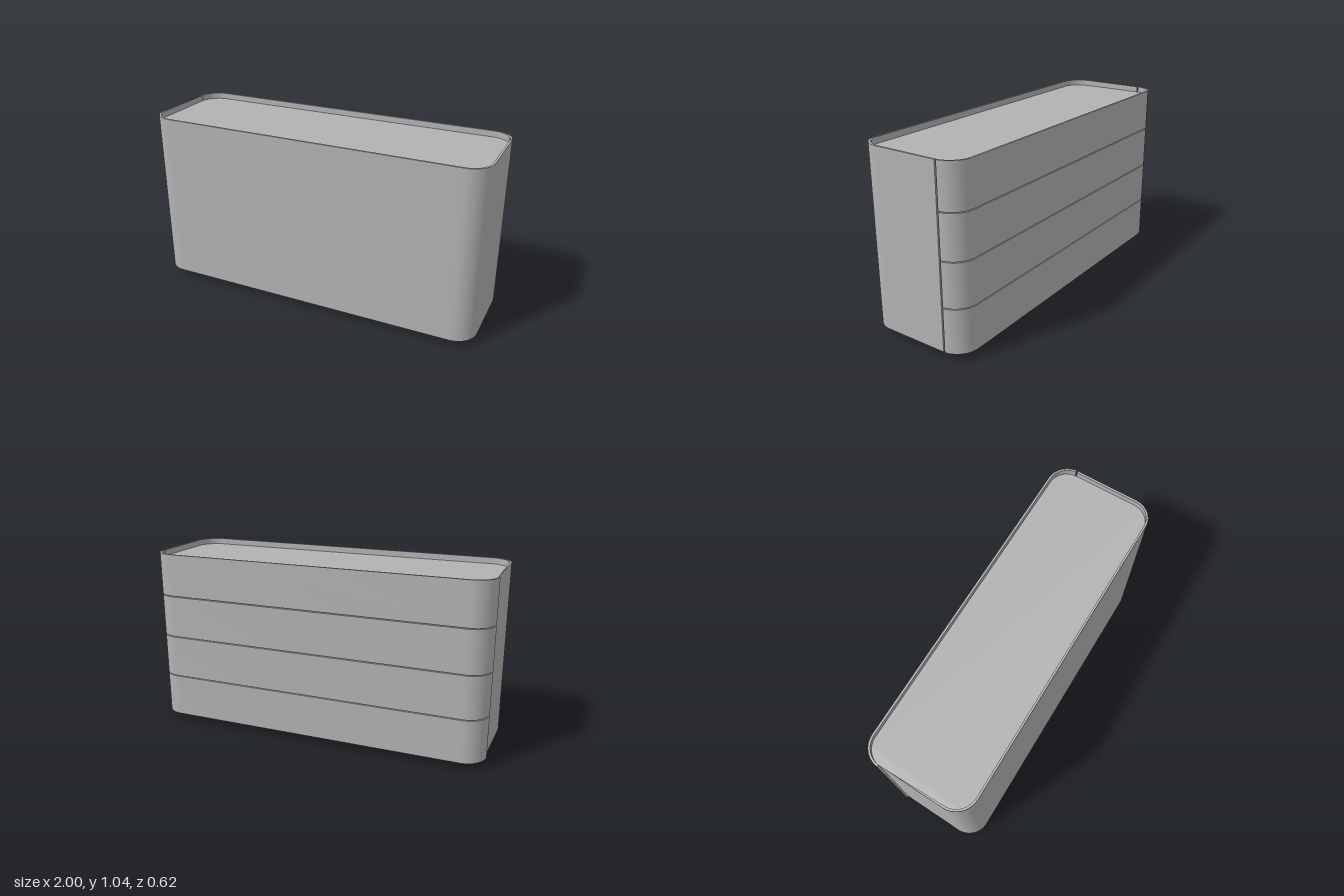
import * as THREE from 'three';
import { toCreasedNormals } from 'three/addons/utils/BufferGeometryUtils.js';

const CX = 0.875, CZ = 0.187;   // corner centres
const R = 0.125, T = 0.012;     // corner radius, panel thickness
const BOTTOM = 0.04, TOP = 1.04, RECESS = 0.035;
const SEAM = 0.005;             // gap between drawers
const PI = Math.PI;

// Extrude a plan outline (shape y points to the back) upward from y0 to y1
function upright(name, shape, y0, y1, material) {
  let geo = new THREE.ExtrudeGeometry(shape, { depth: y1 - y0, bevelEnabled: false, curveSegments: 14 });
  geo.rotateX(-PI / 2);
  geo.translate(0, y0, 0);
  geo = toCreasedNormals(geo, 0.5);
  const mesh = new THREE.Mesh(geo, material);
  mesh.name = name;
  return mesh;
}

// Full rounded rectangle with the given corner radius
function roundedPlan(r) {
  const s = new THREE.Shape();
  s.absarc(CX, CZ, r, 0, PI / 2);
  s.absarc(-CX, CZ, r, PI / 2, PI);
  s.absarc(-CX, -CZ, r, PI, 1.5 * PI);
  s.absarc(CX, -CZ, r, 1.5 * PI, 2 * PI);
  s.closePath();
  return s;
}

// Thin U around the front and both sides
function frontPlan() {
  const s = new THREE.Shape(), end = 0.19, r = R - T;
  s.moveTo(-CX - R, end);
  s.absarc(-CX, -CZ, R, PI, 1.5 * PI);
  s.absarc(CX, -CZ, R, 1.5 * PI, 2 * PI);
  s.lineTo(CX + R, end);
  s.lineTo(CX + r, end);
  s.absarc(CX, -CZ, r, 2 * PI, 1.5 * PI, true);
  s.absarc(-CX, -CZ, r, 1.5 * PI, PI, true);
  s.lineTo(-CX - r, end);
  s.closePath();
  return s;
}

// Thin U around the back corners
function drawerPlan() {
  const s = new THREE.Shape(), a = Math.asin((0.198 - CZ) / R), r = R - T;
  s.absarc(CX, CZ, R, a, PI / 2);
  s.absarc(-CX, CZ, R, PI / 2, PI - a);
  s.absarc(-CX, CZ, r, PI - a, PI / 2, true);
  s.absarc(CX, CZ, r, PI / 2, a, true);
  s.closePath();
  return s;
}

export function createModel() {
  const group = new THREE.Group();
  group.name = 'cabinet';
  const grey = new THREE.MeshStandardMaterial({ color: 0xb2b2b2 });
  grey.name = 'grey';

  // Plinth
  const plinth = new THREE.Mesh(new THREE.BoxGeometry(2 * CX, BOTTOM, 2 * CZ), grey);
  plinth.name = 'plinth';
  plinth.position.y = BOTTOM / 2;
  group.add(plinth);

  // Inner carcass, its top sunk below the rim
  group.add(upright('carcass', roundedPlan(R - T), BOTTOM, TOP - RECESS, grey));

  // Wrap-around front panel
  group.add(upright('frontPanel', frontPlan(), BOTTOM, TOP, grey));

  // Four drawer fronts on the back
  const step = (TOP - BOTTOM) / 4;
  for (let i = 0; i < 4; i++) {
    const y0 = BOTTOM + i * step + (i > 0 ? SEAM / 2 : 0);
    const y1 = BOTTOM + (i + 1) * step - (i < 3 ? SEAM / 2 : 0);
    group.add(upright('drawerFront' + (i + 1), drawerPlan(), y0, y1, grey));
  }
  return group;
}
